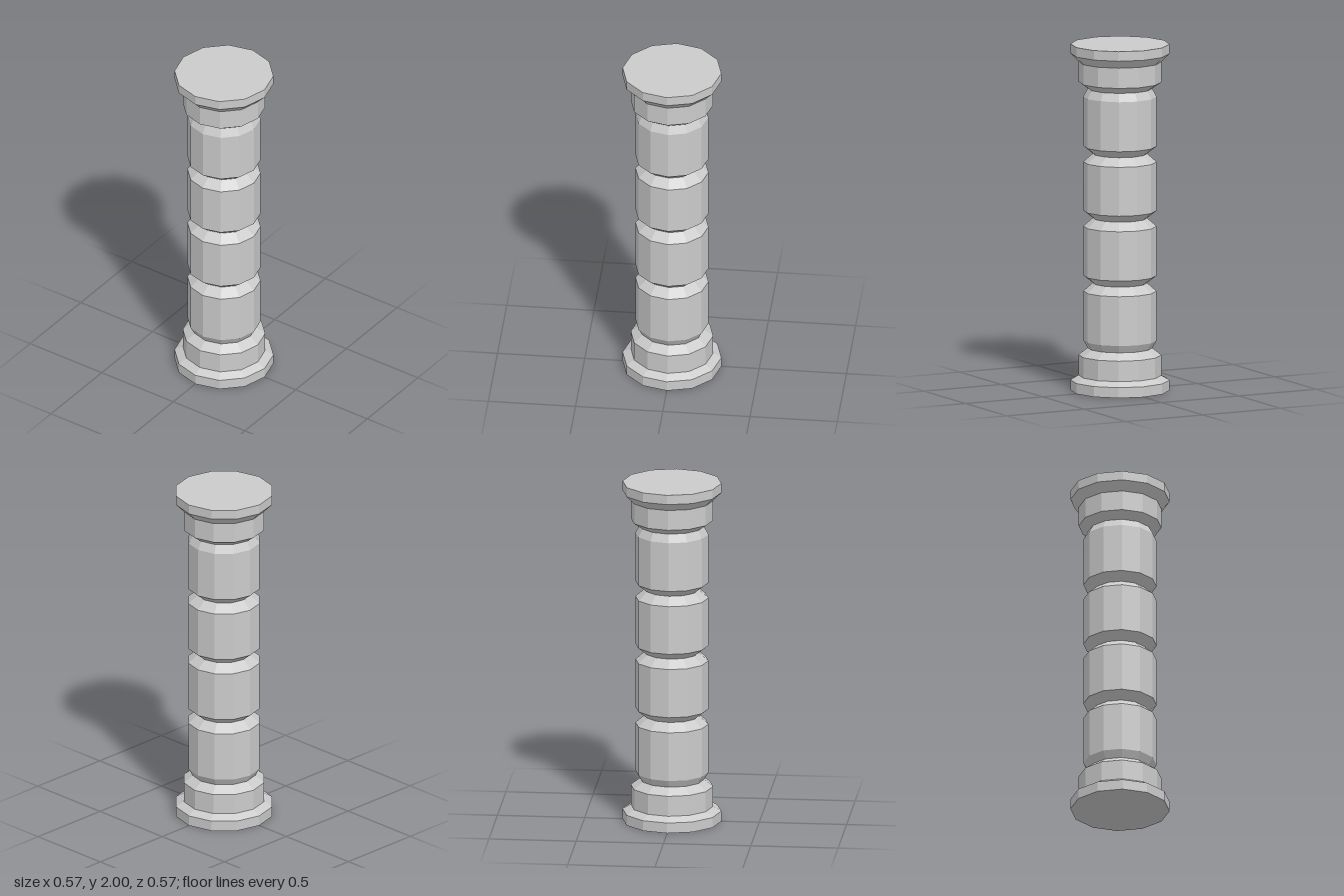
import * as THREE from 'three';

const SIDES = 12;

export function createModel() {
  const column = new THREE.Group();
  column.name = 'column';
  const material = new THREE.MeshStandardMaterial({ color: 0xcccccc, flatShading: true });

  // Turns a [radius, height] profile, listed bottom to top, into a 12-sided ring
  function turned(name, profile) {
    const points = profile.map(([r, y]) => new THREE.Vector2(r, y));
    const mesh = new THREE.Mesh(new THREE.LatheGeometry(points, SIDES), material);
    mesh.name = name;
    column.add(mesh);
  }

  const wide = 0.283, collar = 0.236, shaft = 0.209, groove = 0.155, endNeck = 0.184;
  const necks = [0.245, 0.62, 0.995, 1.367, 1.743];

  // Stepped foot with a closed underside
  turned('base', [
    [0, 0], [wide, 0], [wide, 0.06], [collar, 0.087], [collar, 0.205], [endNeck, necks[0]],
  ]);

  // Four bevelled drums meeting at narrow grooves
  for (let i = 0; i < 4; i++) {
    const bottom = necks[i], top = necks[i + 1];
    turned(`shaftDrum${i + 1}`, [
      [i === 0 ? endNeck : groove, bottom],
      [shaft, bottom + 0.043],
      [shaft, top - 0.047],
      [i === 3 ? endNeck : groove, top],
    ]);
  }

  // Stepped head with a closed top
  turned('capital', [
    [endNeck, necks[4]], [collar, 1.78], [collar, 1.897], [wide, 1.945], [wide, 2], [0, 2],
  ]);

  return column;
}
